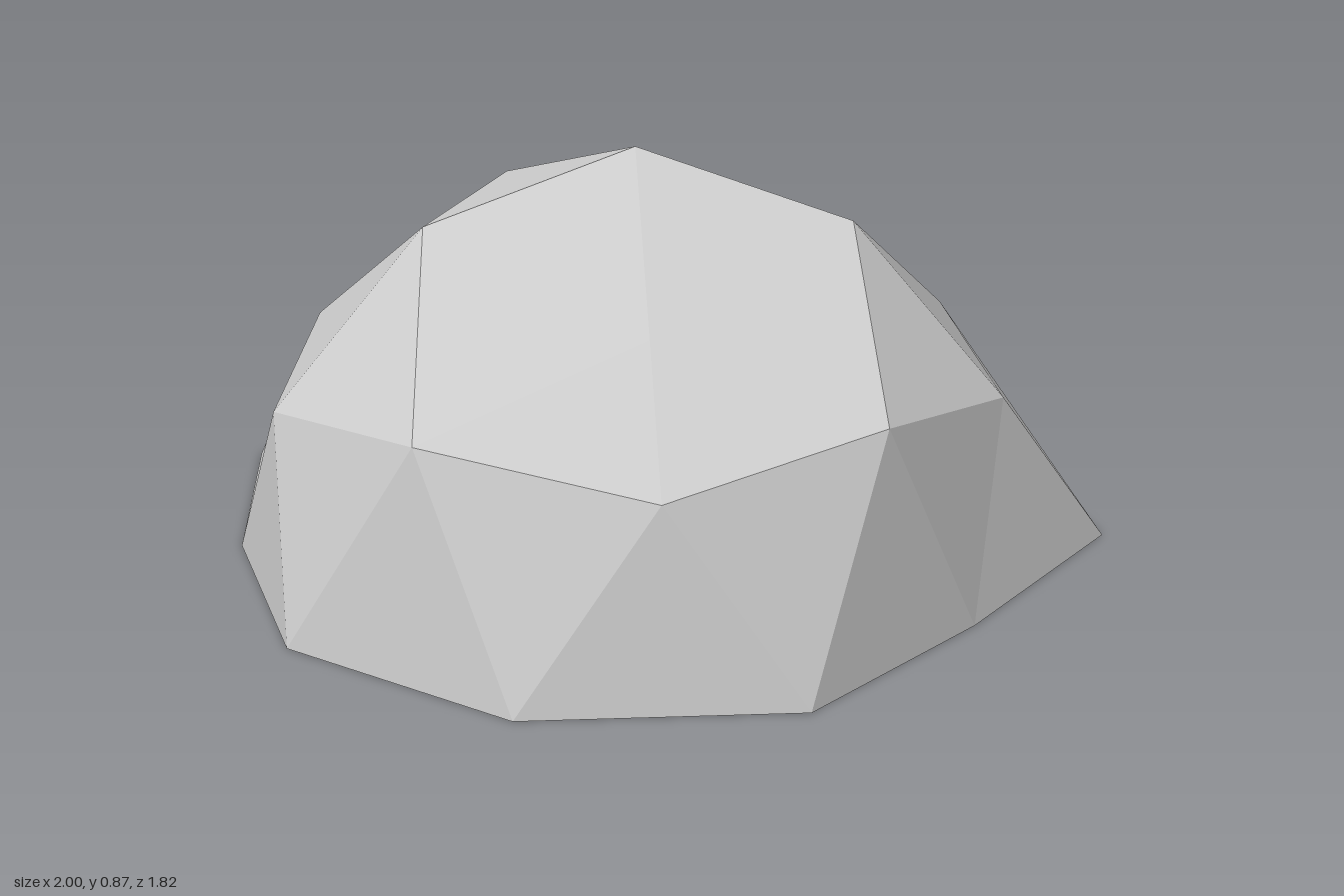
import * as THREE from 'three';

// Faceted boulder: half of a once-split icosahedron, with a few corners pulled in or out.
export function createModel() {
  const R = 0.866, cx = 0.01, cz = 0.04;
  const at = (deg, r, y) => {
    const a = THREE.MathUtils.degToRad(deg);
    return new THREE.Vector3(cx + R * r * Math.sin(a), R * y, cz + R * r * Math.cos(a));
  };
  const ring = (count, fn) => Array.from({ length: count }, (_, i) => fn(i));

  // Rings of corners, counted from the front towards +x
  const apex = at(0, 0, 1);
  const upper = ring(5, i => at(18 + 72 * i, 0.526, 0.851));
  const middle = ring(10, i => (i % 2 ? at(18 + 36 * i, 0.851, 0.526) : at(18 + 36 * i, 0.894, 0.447)));
  const base = ring(10, i => at(36 * i, 1, 0));

  // Corners that break the regular dome
  upper[0].y = 0.59;
  upper[2].y = 0.69;
  middle[7].x = -0.71;
  middle[9].set(-0.21, 0.455, 0.785);
  base[2].x = 0.77;
  base[3].set(1, 0, -0.22);
  base[4].set(0.52, 0, -0.91);
  base[5].z = -0.815;
  base[6].set(-0.485, 0, -0.575);
  base[7].set(-1, 0, -0.22);
  base[8].x = -0.8;

  const points = [];
  const tri = (a, b, c) => points.push(a, b, c);

  // Crown and shoulder facets
  for (let k = 0; k < 5; k++) {
    const u = upper[k], v = upper[(k + 1) % 5];
    const i = middle[2 * k], e = middle[2 * k + 1], j = middle[(2 * k + 2) % 10];
    tri(apex, u, v);
    tri(u, e, v);
    tri(u, i, e);
    tri(v, e, j);
  }
  // Skirt facets and flat underside
  const centre = new THREE.Vector3(0, 0, 0);
  for (let k = 0; k < 10; k++) {
    const n = (k + 1) % 10;
    tri(base[k], base[n], middle[k]);
    tri(middle[k], base[n], middle[n]);
    tri(centre, base[n], base[k]);
  }

  const geometry = new THREE.BufferGeometry().setFromPoints(points);
  geometry.computeVertexNormals();
  const rock = new THREE.Mesh(
    geometry,
    new THREE.MeshStandardMaterial({ color: 0xcccccc, flatShading: true })
  );
  rock.name = 'rock';

  const group = new THREE.Group();
  group.name = 'boulder';
  group.add(rock);
  return group;
}
